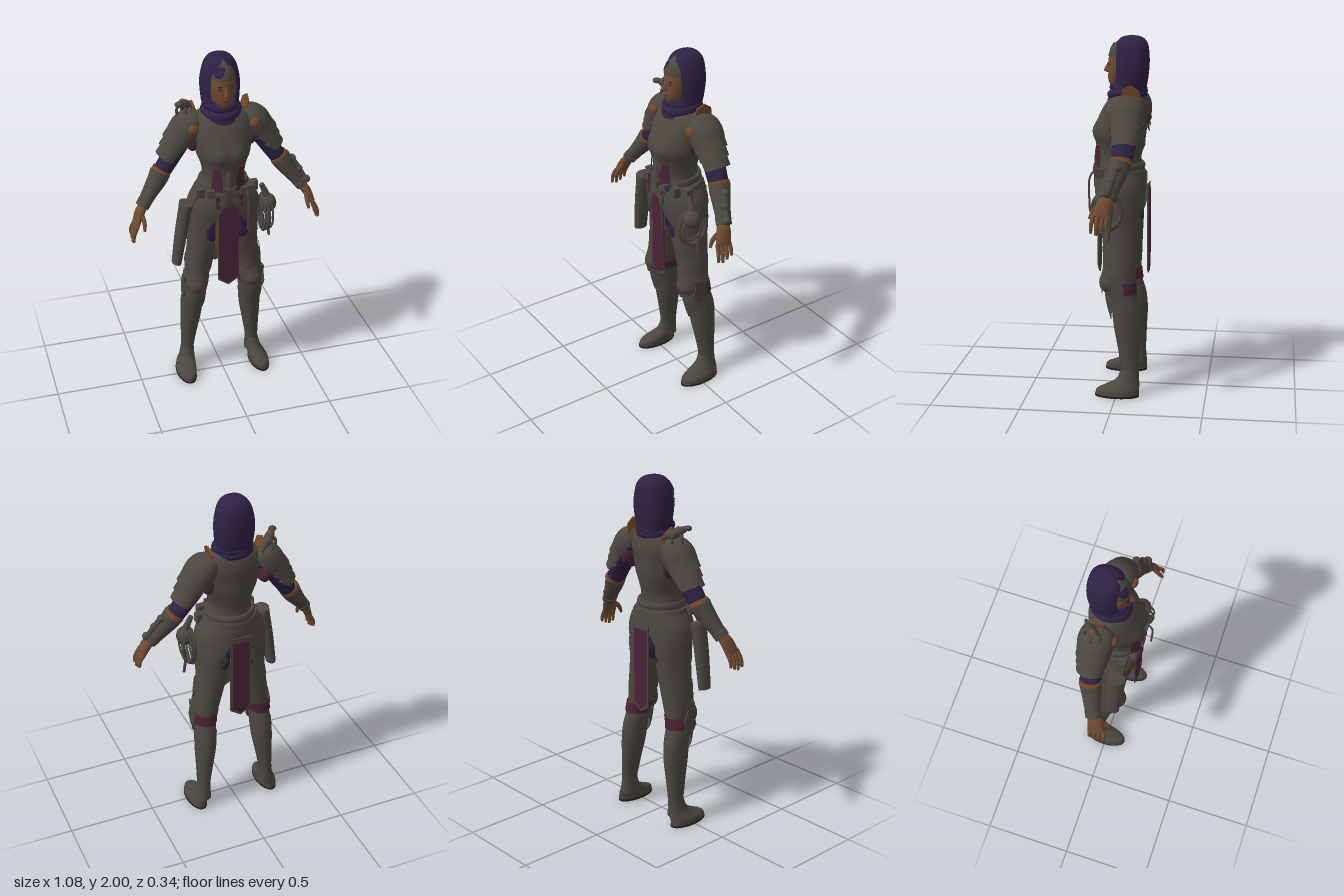
import * as THREE from 'three';

const PI = Math.PI;
const mat = (name, color) => {
  const m = new THREE.MeshStandardMaterial({ color, side: THREE.DoubleSide });
  m.name = name;
  return m;
};

// Skin a tube over rows of [x, y, z, sideRadius, frontRadius, gap].
// A gap leaves a slit, centred on the angle gapAt (0 outer side, PI/2 front).
function loft(rows, { sides = 24, steps = 4, flat = false, gapAt = PI / 2, e = 1 } = {}) {
  const path = new THREE.CatmullRomCurve3(rows.map(r => new THREE.Vector3(r[0], r[1], r[2])), false, 'catmullrom', 0.5);
  const size = new THREE.CatmullRomCurve3(rows.map(r => new THREE.Vector3(r[3], r[4], r[5] || 0)), false, 'catmullrom', 0.5);
  const closed = rows.every(r => !r[5]);
  const n = (rows.length - 1) * steps, pos = [], idx = [], w = sides + 1;
  const pw = v => Math.sign(v) * Math.pow(Math.abs(v), e);
  const down = new THREE.Vector3(0, -1, 0), zAxis = new THREE.Vector3(0, 0, 1);
  for (let i = 0; i <= n; i++) {
    const c = path.getPoint(i / n), s = size.getPoint(i / n);
    const t = flat ? down : path.getTangent(i / n);
    const u = new THREE.Vector3().crossVectors(zAxis, t).normalize();
    const v = new THREE.Vector3().crossVectors(t, u);
    const gap = Math.max(0, s.z);
    for (let j = 0; j <= sides; j++) {
      const a = gapAt + gap + (2 * PI - 2 * gap) * j / sides;
      const p = c.clone().addScaledVector(u, s.x * pw(Math.cos(a))).addScaledVector(v, s.y * pw(Math.sin(a)));
      pos.push(p.x, p.y, p.z);
    }
  }
  for (let i = 0; i < n; i++) for (let j = 0; j < sides; j++) {
    const k = closed ? (j + 1) % sides : j + 1;
    const a = i * w + j, b = i * w + k;
    idx.push(a, b, a + w, b, b + w, a + w);
  }
  if (closed) for (const end of [0, n]) {
    const base = pos.length / 3, c = path.getPoint(end / n);
    for (let j = 0; j < sides; j++) pos.push(...pos.slice((end * w + j) * 3, (end * w + j) * 3 + 3));
    pos.push(c.x, c.y, c.z);
    for (let j = 0; j < sides; j++) {
      const k = (j + 1) % sides;
      idx.push(base + sides, base + (end ? j : k), base + (end ? k : j));
    }
  }
  const g = new THREE.BufferGeometry();
  g.setAttribute('position', new THREE.Float32BufferAttribute(pos, 3));
  g.setIndex(idx);
  g.computeVertexNormals();
  return g;
}

// Swell the front of the breastplate softly on both sides
function swell(geo) {
  const p = geo.attributes.position;
  for (let i = 0; i < p.count; i++) {
    const dx = (Math.abs(p.getX(i)) - .062) / .05, dy = (p.getY(i) - 1.485) / .055;
    if (p.getZ(i) > 0) p.setZ(i, p.getZ(i) + .02 * Math.exp(-dx * dx - dy * dy));
  }
  geo.computeVertexNormals();
  return geo;
}

function mirrored(geo) {
  const g = geo.clone().scale(-1, 1, 1);
  const src = g.index ? Array.from(g.index.array) : Array.from({ length: g.attributes.position.count }, (_, i) => i);
  for (let i = 0; i < src.length; i += 3) [src[i + 1], src[i + 2]] = [src[i + 2], src[i + 1]];
  g.setIndex(src);
  return g;
}
const ball = (x, y, z, rx, ry, rz) => new THREE.SphereGeometry(1, 20, 14).scale(rx, ry, rz).translate(x, y, z);
const box = (x, y, z, w, h, d) => new THREE.BoxGeometry(w, h, d).translate(x, y, z);
const plate = (pts, depth) => new THREE.ExtrudeGeometry(
  new THREE.Shape(pts.map(p => new THREE.Vector2(p[0], p[1]))), { depth, bevelEnabled: false });
const tube = (pts, r) => new THREE.TubeGeometry(
  new THREE.CatmullRomCurve3(pts.map(p => new THREE.Vector3(...p))), 20, r, 6);

export function createModel() {
  const model = new THREE.Group();
  model.name = 'armouredFigure';
  const steel = mat('steelGrey', 0x4b4740), purple = mat('deepPurple', 0x2e2243), maroon = mat('maroon', 0x4a2236);
  const copper = mat('copper', 0x74482a), skin = mat('skin', 0x6e4a31), dark = mat('dark', 0x241f1d);
  const add = (name, geo, m) => {
    const mesh = new THREE.Mesh(geo, m);
    mesh.name = name;
    model.add(mesh);
  };
  const both = (name, geo, m) => {
    add(name + 'Left', geo, m);
    add(name + 'Right', mirrored(geo), m);
  };
  const flat = { flat: true };

  // Head and face
  add('head', loft([[0, 1.95, -.02, .04, .05], [0, 1.9, -.015, .066, .077], [0, 1.85, -.01, .07, .081], [0, 1.8, -.01, .067, .081],
    [0, 1.755, -.002, .052, .073], [0, 1.715, .01, .026, .045]], flat), skin);
  add('neck', loft([[0, 1.77, -.03, .05, .055], [0, 1.64, -.04, .06, .06]], flat), skin);
  add('nose', loft([[0, 1.85, .066, .007, .008], [0, 1.82, .072, .01, .018], [0, 1.805, .074, .014, .02], [0, 1.797, .07, .01, .01]], flat), skin);
  add('mouth', ball(0, 1.769, .066, .019, .004, .007), maroon);
  both('eye', ball(.027, 1.838, .06, .011, .004, .008), dark);
  both('brow', ball(.028, 1.853, .061, .016, .003, .007), dark);
  add('headCap', loft([[0, 1.972, -.02, .03, .035], [0, 1.94, -.018, .058, .066], [0, 1.905, -.015, .07, .081], [0, 1.885, -.014, .073, .084]], flat), steel);
  add('browCloth', loft([[0, 1.955, -.018, .053, .06, PI - .6], [0, 1.925, -.016, .067, .077, PI - .45], [0, 1.9, -.015, .074, .085, PI - .2]],
    { flat: true, gapAt: 2.15 - PI }), purple);

  // Hood and scarf
  add('hood', loft([[0, 2, -.06, 0, 0, 0], [0, 1.988, -.06, .05, .055, 0], [0, 1.957, -.06, .08, .084, .25], [0, 1.91, -.06, .097, .094, .6],
    [0, 1.84, -.06, .108, .096, .65], [0, 1.76, -.056, .104, .092, .6], [0, 1.69, -.045, .095, .09, .25]], { flat: true, sides: 36, e: .84 }), purple);
  [[1.725, .073, .027, .12], [1.69, .083, .03, .2], [1.66, .086, .03, .28]].forEach(([y, r, t, tilt], i) =>
    add('scarfFold' + i, new THREE.TorusGeometry(r, t, 10, 32).rotateX(PI / 2 + tilt).rotateZ(i === 1 ? .08 : -.05).translate(0, y, -.035), purple));

  // Cuirass
  const chest = [[0, 1.69, -.05, .09, .075], [0, 1.66, -.04, .15, .098], [0, 1.6, -.025, .165, .125], [0, 1.53, -.008, .16, .136],
    [0, 1.46, .002, .15, .142], [0, 1.4, .005, .128, .133], [0, 1.34, .01, .117, .125], [0, 1.28, .01, .127, .128], [0, 1.23, 0, .148, .133]];
  add('cuirass', swell(loft(chest, { flat: true, sides: 64, steps: 6 })), steel);
  add('waistPlate', loft([[0, 1.41, .1, .035, .035], [0, 1.35, .1, .032, .047], [0, 1.27, .1, .03, .05]], flat), steel);
  both('waistPanel', loft([[0, 1.4, .005, .131, .138, PI - .14], [0, 1.34, .012, .122, .135, PI - .25], [0, 1.27, .012, .134, .139, PI - .25]],
    { flat: true, sides: 8, gapAt: 1 + PI }), maroon);
  both('armpitCloth', ball(.165, 1.525, -.055, .034, .07, .088), maroon);

  // Belt with buckle and pouches
  [[1.3, 1.265, .139], [1.262, 1.225, .158]].forEach(([a, b, r], i) => add('belt' + i,
    loft([[0, a, .003, r - .004, .132], [0, (a + b) / 2, .003, r + .001, .139], [0, b, .003, r, .135]], { flat: true, sides: 32 }), steel));
  add('buckle', box(0, 1.262, .142, .05, .045, .02), steel);
  both('beltFlap', box(.066, 1.205, .138, .022, .07, .008), maroon);
  [[.08, 1.265, .13, .03], [.13, 1.25, .1, .042], [.165, 1.24, .04, .04], [-.1, 1.26, .12, .035], [-.15, 1.25, .075, .04]].forEach(([x, y, z, s], i) =>
    add('beltPouch' + i, box(x, y, z, s * 1.1, s * 1.3, s).rotateY(0), steel));
  add('hangingStrap', tube([[.1, 1.26, .14], [.1, 1.22, .163], [.1, 1.03, .163]], .006), steel);

  // Hips, tassets and cloth between the legs
  add('hipCloth', loft([[0, 1.26, 0, .145, .13], [0, 1.15, -.005, .168, .125], [0, 1.05, -.01, .155, .118], [0, .96, -.01, .07, .075]], flat), purple);
  add('hipGuard', loft([[0, 1.25, 0, .15, .136], [0, 1.18, -.005, .166, .133], [0, 1.11, -.008, .168, .125]], flat), steel);
  both('thighCloth', loft([[.085, 1.12, 0, .07, .112], [.09, 1.02, -.003, .074, .112], [.092, .96, -.006, .068, .109], [.1, .91, -.01, .05, .08]], flat), purple);
  both('tasset', loft([[0, 1.25, 0, .155, .14, 1.58], [.018, 1.16, 0, .174, .145, 1.7], [.05, 1.06, -.008, .152, .135, 1.9],
    [.075, .98, -.01, .128, .123, 2.3], [.09, .92, -.01, .118, .115, 3]], { flat: true, gapAt: PI }), steel);
  both('hipPlate', loft([[0, 1.24, 0, .163, .147, 1.75], [.018, 1.17, 0, .182, .151, 2.0], [.035, 1.1, -.004, .175, .147, 2.8]],
    { flat: true, gapAt: PI }), steel);

  // Front and back tabards
  const cloth = (w, top, low, tip) => [[-w, low], [0, tip], [w, low], [w, top], [-w, top]];
  add('frontTabardBacking', plate(cloth(.06, 1.17, .7, .66), .006).translate(0, 0, .117), steel);
  add('frontTabard', plate(cloth(.057, 1.165, .712, .677), .004).translate(0, 0, .123), maroon);
  add('backTabardBacking', plate(cloth(.062, 1.18, .7, .66), .007).translate(0, 0, -.16), steel);
  add('backTabard', plate(cloth(.049, 1.15, .712, .675), .004).translate(0, 0, -.164), maroon);
  add('frontTrim', box(-.067, 1.02, .116, .014, .25, .008), copper);

  // Legs and boots
  both('leg', loft([[.1, 1.06, -.01, .09, .112], [.108, .95, -.01, .09, .107], [.122, .85, -.012, .085, .099], [.14, .75, -.018, .076, .088],
    [.155, .66, -.02, .067, .08], [.165, .6, -.025, .061, .075], [.174, .5, -.05, .061, .078], [.179, .4, -.06, .057, .076],
    [.189, .28, -.068, .046, .062], [.198, .16, -.074, .037, .051], [.2, .06, -.075, .042, .052]], flat), steel);
  both('boot', loft([[.199, .15, -.074, .037, .05], [.205, .095, -.063, .043, .064], [.213, .065, -.038, .049, .092], [.223, .04, -.01, .055, .118],
    [.226, .01, -.005, .056, .123]], flat), steel);
  both('sole', loft([[.226, .012, -.005, .057, .124], [.226, 0, -.005, .057, .124]], { flat: true, steps: 1 }), dark);

  // Knee armour, each lame ending in a point
  const back = { flat: true, gapAt: -PI / 2, steps: 5 };
  both('thighLame', loft([[.13, .84, -.012, .086, .1, 1.5], [.143, .77, -.014, .083, .097, 1.7], [.152, .69, -.01, .076, .095, 3]], back), steel);
  both('kneeLame', loft([[.153, .73, -.012, .074, .092, 1.5], [.16, .67, -.01, .075, .104, 1.7], [.166, .58, -.006, .07, .094, 3]], back), steel);
  both('kneeCop', ball(.163, .645, .042, .058, .064, .061), steel);
  both('shinLame', loft([[.165, .6, -.02, .07, .092, 1.5], [.17, .53, -.03, .071, .092, 1.9], [.174, .43, -.04, .066, .075, 3.05]], back), steel);
  both('greave', loft([[.172, .52, -.048, .063, .081, 1.2], [.179, .4, -.058, .06, .077, 1.2], [.189, .28, -.067, .048, .063, 1.3], [.197, .18, -.073, .039, .052, 1.5]], back), steel);
  both('kneeWing', plate([[-.035, .56], [.01, .545], [.045, .6], [.03, .66], [.045, .7], [-.015, .69], [-.045, .63]], .008)
    .rotateY(-PI / 2).rotateZ(.03).translate(.257, 0, 0), steel);
  both('kneeStrap', loft([[.158, .65, -.021, .071, .084, 1.1], [.165, .62, -.024, .069, .083, 1.1], [.168, .585, -.03, .067, .081, 1.1]], flat), maroon);

  // Arms and hands
  both('sleeve', loft([[.17, 1.6, -.06, .06, .075], [.235, 1.5, -.058, .055, .068], [.288, 1.42, -.05, .051, .061], [.345, 1.335, -.04, .046, .055]]), purple);
  both('elbowBand', loft([[.33, 1.366, -.043, .052, .06], [.344, 1.344, -.04, .054, .061]]), copper);
  both('bracer', loft([[.342, 1.35, -.04, .058, .06], [.366, 1.31, -.028, .053, .056], [.41, 1.25, -.01, .043, .047], [.458, 1.185, .012, .034, .04]]), steel);
  both('bracerCuff', loft([[.44, 1.21, .004, .039, .045], [.463, 1.18, .014, .037, .044]]), steel);
  both('palm', loft([[.45, 1.195, .01, .025, .031], [.482, 1.15, .03, .025, .043], [.508, 1.09, .047, .018, .046]]), skin);
  for (let i = 0; i < 4; i++) {
    const z = .012 + i * .024, len = [.065, .08, .09, .08][i];
    both('finger' + i, loft([[.502, 1.105, z, .011, .012], [.526, 1.09 - len * .45, z + i * .003, .011, .011], [.532, 1.09 - len, z + i * .004, .007, .008]], { sides: 10 }), skin);
  }
  both('thumb', loft([[.472, 1.155, .05, .012, .014], [.468, 1.115, .09, .012, .013], [.472, 1.075, .11, .007, .008]], { sides: 10 }), skin);

  // Layered shoulder armour with copper details
  const inner = { gapAt: PI };
  both('shoulderCap', loft([[.13, 1.68, -.055, .015, .03, .8], [.152, 1.647, -.055, .062, .08, .8], [.186, 1.598, -.055, .087, .097, .9], [.218, 1.548, -.055, .087, .094, 1]], inner), steel);
  for (let i = 0; i < 3; i++) {
    const x = .213 + .027 * i, y = 1.565 - .044 * i, r = .085 - .008 * i;
    both('shoulderLame' + i, loft([[x, y, -.055, r - .004, r + .004, 1], [x + .033, y - .054, -.055, r, r + .006, 1.25 + .15 * i]], inner), steel);
  }
  both('boss', ball(.172, 1.61, .035, .03, .03, .02), copper);
  both('collarGuard', plate([[-.06, 1.65], [.06, 1.65], [.045, 1.71], [0, 1.742], [-.045, 1.72]], .01)
    .rotateY(PI / 2).rotateZ(-.2).translate(-.195, .035, -.07), copper);

  // Small creature resting on the right shoulder
  add('creatureBody', loft([[-.13, 1.675, -.13, .007, .007], [-.155, 1.7, -.11, .016, .016], [-.185, 1.712, -.085, .028, .03], [-.212, 1.73, -.055, .022, .024],
    [-.23, 1.742, -.035, .014, .014]], { sides: 12 }), steel);
  add('creatureHead', ball(-.236, 1.742, -.028, .022, .015, .021), steel);
  add('creatureBack', ball(-.205, 1.742, -.068, .018, .012, .016), copper);
  [[-.2, -.11], [-.155, -.075], [-.235, -.07], [-.195, -.035]].forEach(([x, z], i) =>
    add('creatureLeg' + i, tube([[(x - .195) / 2, 1.718, (z - .07) / 2], [x, 1.7, z], [x, 1.655, z]], .008), steel));

  // Case hanging at the right hip
  add('case', loft([[-.23, 1.18, .065, .036, .048], [-.26, 1, .063, .034, .045], [-.286, .82, .06, .027, .04]]), steel);
  add('caseRim', loft([[-.226, 1.195, .065, .039, .051], [-.231, 1.165, .065, .039, .051]]), steel);
  add('caseStrap', tube([[-.14, 1.25, .07], [-.18, 1.22, .085], [-.215, 1.16, .09]], .007), steel);

  // Flask, rope coil and chain at the left hip
  add('flask', ball(.243, 1.125, .065, .048, .055, .05), steel);
  add('flaskNeck', loft([[.205, 1.245, .06, .014, .014], [.225, 1.2, .062, .018, .018], [.238, 1.16, .065, .024, .024]]), steel);
  for (let i = 0; i < 5; i++) add('ropeCoil' + i, new THREE.TorusGeometry(.085 + (i % 3) * .006, .006, 6, 32)
    .scale(.9, 1.12, 1).rotateY(PI / 2 - .12 + .06 * i).translate(.205 + i * .01, 1.065 - (i % 2) * .012, .05), steel);
  add('chain', tube([[.235, 1.2, .05], [.268, 1.08, .02], [.255, 1, .03], [.262, .9, .04]], .008), steel);

  // Device strapped to the left bracer
  add('bracerTube', loft([[.395, 1.35, -.03, .015, .018], [.432, 1.3, -.015, .016, .018], [.48, 1.215, .012, .014, .016]], { sides: 12 }), steel);
  [[.412, 1.335, -.03], [.445, 1.275, -.005], [.485, 1.215, .015]].forEach(([x, y, z], i) =>
    add('bracerKnob' + i, ball(x, y, z, .022, .022, .024), steel));

  return model;
}
